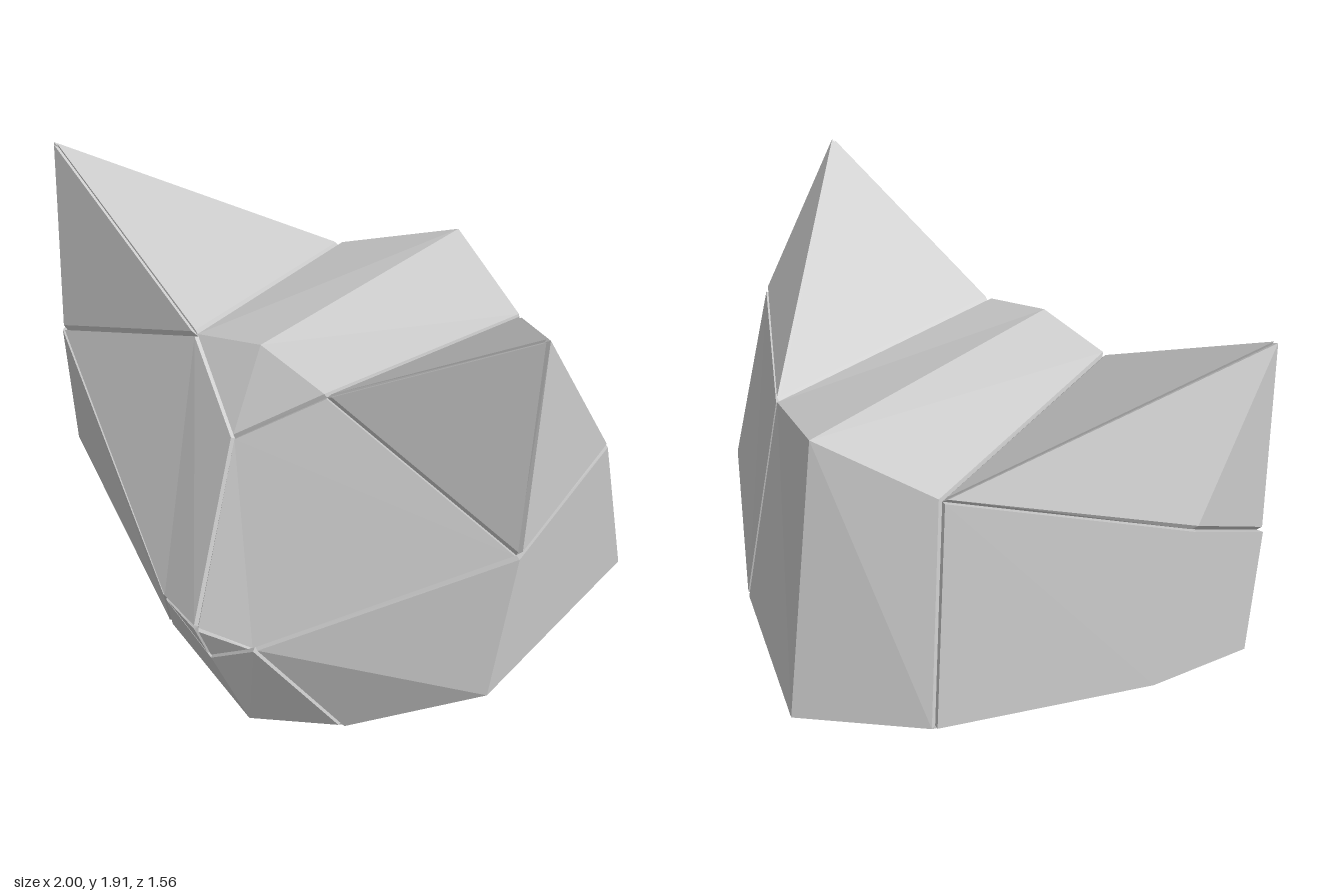
import * as THREE from 'three';

const V = (x, y, z) => new THREE.Vector3(x, y, z);
const CENTRE = V(0, 0.8, 0);
const GAP = 0.01;      // half width of the seams
const DEPTH = 0.02;    // how far seams sink towards the centre

// Corner points on the left half (+x); x = 0 points lie on the middle line
const corners = {
  earTip: V(0.95, 1.915, 0.31), earInner: V(0.27, 1.485, 0.42), earOuter: V(0.95, 1.18, 0.36),
  earBack: V(1, 1.40, 0), crown: V(0.39, 1.385, -0.45),
  top: V(0, 1.55, 0.41), topBack: V(0, 1.5, -0.63), brow: V(0, 1.28, 0.555),
  bridge: V(0, 0.625, 0.78), nostril: V(0.2, 0.61, 0.72), noseTip: V(0, 0.455, 0.72),
  jaw: V(0.405, 0.215, 0.515), jawBack: V(0.41, 0.26, 0), chin: V(0, 0, 0.545), throat: V(0, 0.09, -0.07),
  cheek: V(0.91, 0.625, 0.42), side: V(0.985, 0.79, -0.21), nape: V(0.48, 0.59, -0.575), rear: V(0, 0.455, -0.785),
};
// The right half is the mirror image, with a flattened outer side
const flattened = {
  earTip: V(-1, 1.885, 0.3), earOuter: V(-1, 1.18, 0.36), earBack: V(-1, 1.37, 0),
  side: V(-1, 0.84, -0.135), cheek: V(-1, 0.69, 0.35),
};

// Each panel is a list of facets
const panels = {
  earFront: ['earInner earOuter earTip'],
  earOutside: ['earOuter earBack earTip', 'earBack crown earTip'],
  earInside: ['crown earInner earTip'],
  headTop: ['top earInner crown topBack', 'top brow earInner'],
  face: ['brow bridge nostril earOuter earInner'],
  nose: ['bridge noseTip nostril'],
  chin: ['nostril noseTip chin jaw'],
  muzzleSide: ['nostril jaw cheek earOuter'],
  headSide: ['jaw jawBack side cheek', 'jawBack nape side', 'earOuter cheek side earBack', 'earBack side nape crown'],
  headBack: ['crown nape rear topBack', 'jawBack throat rear nape'],
  underside: ['chin throat jawBack jaw'],
};

// Edges cut by a seam; all other edges are plain creases
const seams = new Set();
[
  'brow bridge nostril earOuter earInner brow', 'bridge noseTip nostril jaw chin',
  'earInner earTip earOuter earBack crown earTip', 'earInner crown nape jawBack jaw', 'jawBack throat',
].forEach((path) => {
  const p = path.split(' ');
  for (let i = 1; i < p.length; i++) seams.add(p[i - 1] + p[i]).add(p[i] + p[i - 1]);
});

// Builds one panel: inset facets plus sloping walls down into the seams
function panelGeometry(facets, points) {
  const out = [];
  for (const facet of facets) {
    let names = facet.split(' ');
    const normal = V(0, 0, 0), middle = V(0, 0, 0);
    names.forEach((n, i) => {
      normal.add(points[n].clone().cross(points[names[(i + 1) % names.length]]));
      middle.addScaledVector(points[n], 1 / names.length);
    });
    // Keep every facet facing outwards
    if (normal.dot(middle.sub(CENTRE)) < 0) names = names.reverse();
    const count = names.length;
    const cut = names.map((n, i) => seams.has(n + names[(i + 1) % count]));
    const inset = names.map((n, i) => {
      const before = (i + count - 1) % count, after = (i + 1) % count;
      const p = points[n].clone();
      const slide = (j) => p.addScaledVector(points[names[j]].clone().sub(points[n]).normalize(), GAP);
      if (cut[before]) slide(after);
      if (cut[i]) slide(before);
      return p;
    });
    const sunk = names.map((n) => points[n].clone().lerp(CENTRE, DEPTH));
    for (let i = 1; i < count - 1; i++) out.push(inset[0], inset[i], inset[i + 1]);
    for (let i = 0; i < count; i++) {
      const j = (i + 1) % count;
      if (cut[i]) out.push(inset[i], sunk[i], sunk[j], inset[i], sunk[j], inset[j]);
    }
  }
  const geometry = new THREE.BufferGeometry().setFromPoints(out);
  geometry.computeVertexNormals();
  return geometry;
}

export function createModel() {
  const model = new THREE.Group();
  model.name = 'facetedAnimalHead';
  const material = new THREE.MeshStandardMaterial({ color: 0xcccccc, flatShading: true, side: THREE.DoubleSide });
  for (const half of ['left', 'right']) {
    const points = {};
    for (const [name, p] of Object.entries(corners)) {
      points[name] = half === 'left' ? p : flattened[name] || V(-p.x, p.y, p.z);
    }
    const group = new THREE.Group();
    group.name = half + 'Half';
    for (const [name, facets] of Object.entries(panels)) {
      const mesh = new THREE.Mesh(panelGeometry(facets, points), material);
      mesh.name = half + name[0].toUpperCase() + name.slice(1);
      group.add(mesh);
    }
    model.add(group);
  }
  return model;
}
